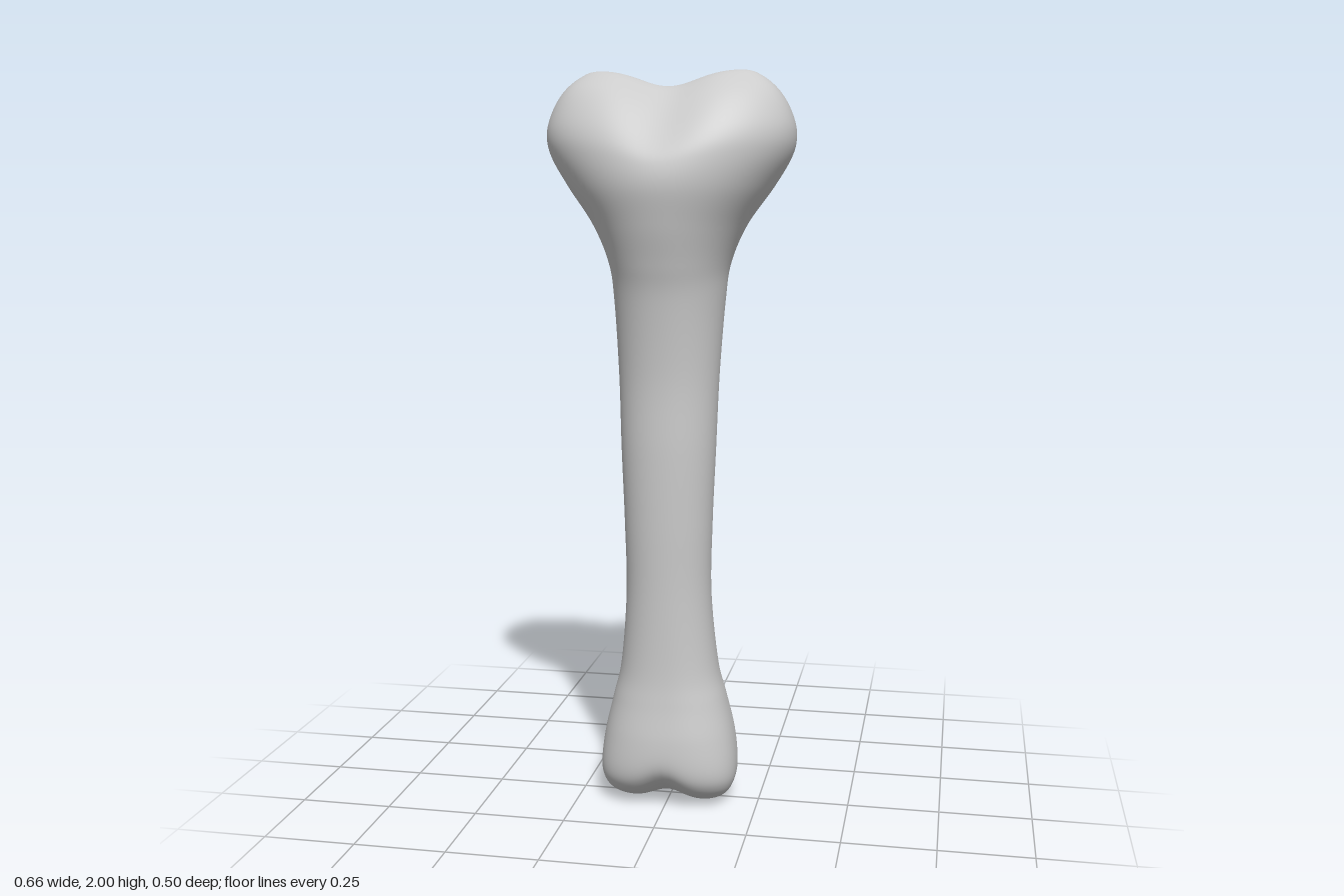
import * as THREE from 'three';

// Cross-sections from bottom to top: [y, half width, front z, back z, squareness]
const SECTIONS = [
  [0.0, 0, 0.02, 0.02, 2],
  [0.0, 0.07, 0.03, 0.01, 2],
  [0.003, 0.115, 0.05, -0.015, 2.1],
  [0.025, 0.158, 0.095, -0.05, 2.4],
  [0.06, 0.182, 0.135, -0.09, 2.5],
  [0.11, 0.19, 0.155, -0.12, 2.5],
  [0.2, 0.18, 0.155, -0.135, 2.4],
  [0.3, 0.157, 0.143, -0.12, 2.3],
  [0.4, 0.134, 0.136, -0.1, 2.2],
  [0.6, 0.117, 0.138, -0.075, 2.1],
  [0.8, 0.12, 0.146, -0.075, 2.1],
  [1.0, 0.128, 0.152, -0.085, 2.1],
  [1.2, 0.135, 0.155, -0.105, 2.1],
  [1.4, 0.148, 0.178, -0.15, 2.1],
  [1.5, 0.162, 0.202, -0.178, 2.1],
  [1.6, 0.205, 0.23, -0.208, 2],
  [1.7, 0.275, 0.25, -0.25, 2],
  [1.78, 0.322, 0.246, -0.245, 2],
  [1.84, 0.332, 0.225, -0.222, 2.1],
  [1.9, 0.315, 0.187, -0.185, 2.2],
  [1.95, 0.283, 0.14, -0.137, 2.3],
  [1.985, 0.24, 0.085, -0.08, 2.3],
  [2.0, 0.195, 0.045, -0.03, 2.2],
  [2.0, 0.1, 0.02, -0.005, 2],
  [2.0, 0, 0.008, 0.008, 2],
];

const RINGS = 180;
const SIDES = 96;

// Smooth curve through a set of section columns
const spline = (f) => new THREE.CatmullRomCurve3(SECTIONS.map(f), false, 'catmullrom', 0.5);

const power = (v, n) => Math.sign(v) * Math.pow(Math.abs(v), 2 / n);

// Groove running front to back between the paired knobs at each end
function groove(x, y, z) {
  const top = THREE.MathUtils.smoothstep(y, 1.62, 1.95);
  const bottom = 1 - THREE.MathUtils.smoothstep(y, 0.02, 0.25);
  const topDepth = 0.042 + 0.12 * Math.max(0, -z) + 0.05 * Math.max(0, z);
  const bottomDepth = 0.026 + 0.12 * Math.max(0, -z) + 0.08 * Math.max(0, z);
  return bottom * bottomDepth * Math.exp(-((x / 0.062) ** 2))
    - top * topDepth * Math.exp(-((x / 0.105) ** 2));
}

function boneGeometry() {
  const outline = spline(([y, w, , , n]) => new THREE.Vector3(w, y, n));
  const depth = spline(([, , f, b]) => new THREE.Vector3(f, b, 0));
  const positions = [];
  const index = [];

  for (let i = 0; i <= RINGS; i++) {
    const t = i / RINGS;
    const { x: width, y, z: n } = outline.getPoint(t);
    const { x: front, y: back } = depth.getPoint(t);
    for (let j = 0; j < SIDES; j++) {
      const a = (j / SIDES) * Math.PI * 2;
      const x = Math.max(0, width) * power(Math.cos(a), n);
      const z = (front + back) / 2 + ((front - back) / 2) * power(Math.sin(a), n);
      positions.push(x, y + groove(x, y, z), z);
      if (i < RINGS) {
        const p = i * SIDES + j;
        const q = i * SIDES + ((j + 1) % SIDES);
        index.push(p, p + SIDES, q, q, p + SIDES, q + SIDES);
      }
    }
  }

  const geometry = new THREE.BufferGeometry();
  geometry.setAttribute('position', new THREE.Float32BufferAttribute(positions, 3));
  geometry.setIndex(index);
  geometry.computeVertexNormals();
  return geometry;
}

export function createModel() {
  const model = new THREE.Group();
  model.name = 'bone';
  const material = new THREE.MeshStandardMaterial({ color: 0xcccccc });

  // Shaft and both knobbed ends form one continuous surface
  const bone = new THREE.Mesh(boneGeometry(), material);
  bone.name = 'boneBody';
  model.add(bone);
  return model;
}
